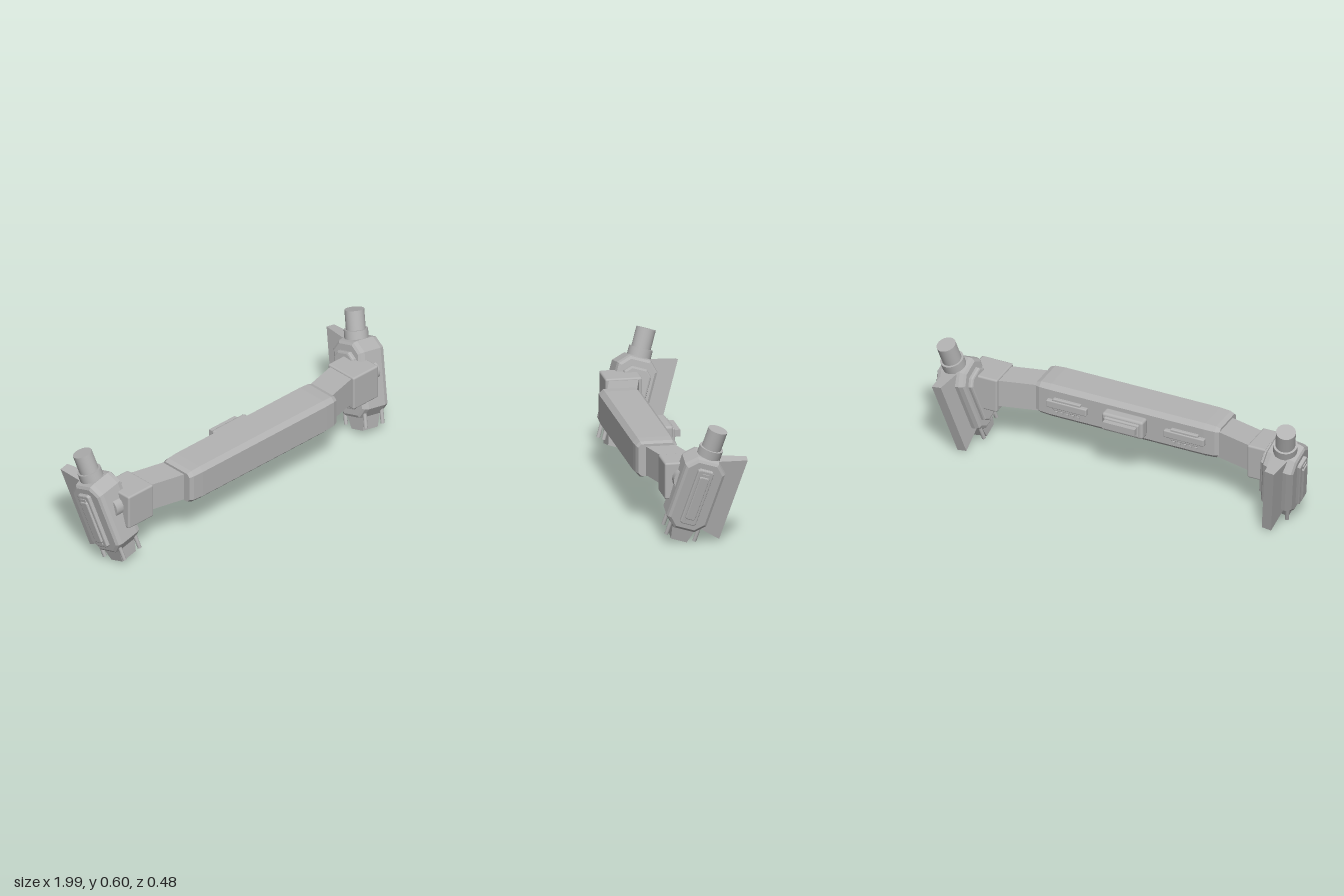
import * as THREE from 'three';
import { RoundedBoxGeometry } from 'three/addons/geometries/RoundedBoxGeometry.js';

const grey = new THREE.MeshStandardMaterial({ color: 0xb3b3b3 });
grey.name = 'plain grey';

function add(parent, name, geometry, x = 0, y = 0, z = 0) {
  const mesh = new THREE.Mesh(geometry, grey);
  mesh.name = name;
  mesh.position.set(x, y, z);
  parent.add(mesh);
  return mesh;
}

const box = (w, h, d) => new THREE.BoxGeometry(w, h, d);
const soft = (w, h, d, r = 0.008) => new RoundedBoxGeometry(w, h, d, 2, r);

// Corner-cut slab: thickness along x, height along y, depth along z.
function slab(thick, height, depth, cut, bevel, bevelDepth = bevel) {
  const a = depth / 2 - bevel, b = height / 2 - bevel;
  const c = Math.max(cut, 0.001);
  const shape = new THREE.Shape([
    [-a + c, -b], [a - c, -b], [a, -b + c], [a, b - c],
    [a - c, b], [-a + c, b], [-a, b - c], [-a, -b + c],
  ].map(([x, y]) => new THREE.Vector2(x, y)));
  const g = new THREE.ExtrudeGeometry(shape, {
    depth: thick - 2 * bevelDepth, bevelEnabled: true,
    bevelSize: bevel, bevelThickness: bevelDepth, bevelSegments: 2,
  });
  g.translate(0, 0, -thick / 2 + bevelDepth);
  return g.rotateY(Math.PI / 2);
}

// Box whose corners are scaled by a rule.
function shaped(geometry, rule) {
  const p = geometry.attributes.position;
  const v = new THREE.Vector3();
  for (let i = 0; i < p.count; i++) {
    v.fromBufferAttribute(p, i);
    rule(v);
    p.setXYZ(i, v.x, v.y, v.z);
  }
  geometry.computeVertexNormals();
  return geometry;
}

// Tilted end unit; s is +1 for left and -1 for right.
function makePod(s) {
  const pod = new THREE.Group();
  pod.name = s > 0 ? 'leftPod' : 'rightPod';
  pod.position.set(s * 0.866, 0.27, 0.02);
  pod.rotation.set(-0.3, 0, -s * 0.177);

  add(pod, 'podBody', slab(0.165, 0.39, 0.21, 0.04, 0.018, 0.03));

  // Outer stepped panel with end tabs
  add(pod, 'outerPanel', slab(0.04, 0.3, 0.082, 0.006, 0.006), s * 0.081);
  add(pod, 'outerInset', slab(0.03, 0.235, 0.05, 0.004, 0.005), s * 0.097);
  for (const e of [-1, 1]) {
    add(pod, 'panelTab', box(0.02, 0.016, 0.036), s * 0.096, e * 0.124, 0);
  }

  // Inner raised plate facing the arm
  add(pod, 'innerPlate', slab(0.05, 0.29, 0.14, 0.025, 0.01), -s * 0.08);

  // Flared rear fin
  const fin = shaped(box(0.05, 0.44, 0.14), (v) => {
    if (v.z > 0) { v.y *= 0.82; v.x *= 1.5; }
  });
  add(pod, 'rearFin', fin, 0, 0.008, -0.127);

  // Upper collar and post
  add(pod, 'collar', new THREE.CylinderGeometry(0.06, 0.06, 0.09, 32), 0, 0.193, -0.008);
  add(pod, 'post', new THREE.CylinderGeometry(0.049, 0.049, 0.13, 32), 0, 0.272, -0.008);

  // Lower plug and its four pins
  const plug = shaped(box(0.115, 0.09, 0.125), (v) => {
    if (v.y < 0) { v.x *= 0.85; v.z *= 0.66; }
  });
  add(pod, 'plug', plug, 0, -0.217, 0);
  for (const x of [-0.055, 0.055]) {
    for (const z of [-0.073, 0.073]) {
      add(pod, 'pin', new THREE.CylinderGeometry(0.01, 0.01, 0.075, 12), x, -0.204, z);
    }
  }
  return pod;
}

export function createModel() {
  const model = new THREE.Group();
  model.name = 'handlebarUnit';

  // Central grip with tapered ends
  add(model, 'centralBar', slab(1, 0.185, 0.21, 0.016, 0.012, 0.08), 0, 0.327, 0.136);

  // Middle module on the back of the bar
  add(model, 'middleModule', soft(0.225, 0.1, 0.06, 0.014), 0, 0.328, 0.008);
  add(model, 'middleRim', soft(0.19, 0.07, 0.02), 0, 0.328, -0.024);
  add(model, 'middleLedge', box(0.175, 0.035, 0.04), 0, 0.335, -0.04);

  for (const s of [-1, 1]) {
    // Slim back modules with a row of studs below
    add(model, 'sideModule', soft(0.22, 0.04, 0.034, 0.006), s * 0.32, 0.328, 0.026);
    add(model, 'sideLedge', soft(0.15, 0.065, 0.024, 0.005), s * 0.32, 0.328, 0.026);
    for (let i = -2; i <= 2; i++) {
      add(model, 'stud', box(0.012, 0.01, 0.012), s * 0.32 + i * 0.03, 0.28, 0.029);
    }

    // Angled arm, joint block and hub
    const arm = add(model, 'arm', box(0.27, 0.145, 0.145), s * 0.59, 0.323, 0.095);
    arm.rotation.y = s * 0.24;
    add(model, 'jointBlock', soft(0.17, 0.185, 0.185, 0.01), s * 0.765, 0.313, 0.072);
    const hub = add(model, 'hub', new THREE.CylinderGeometry(0.052, 0.052, 0.09, 16), s * 0.85, 0.325, 0.077);
    hub.rotation.z = Math.PI / 2;

    model.add(makePod(s));
  }
  return model;
}
